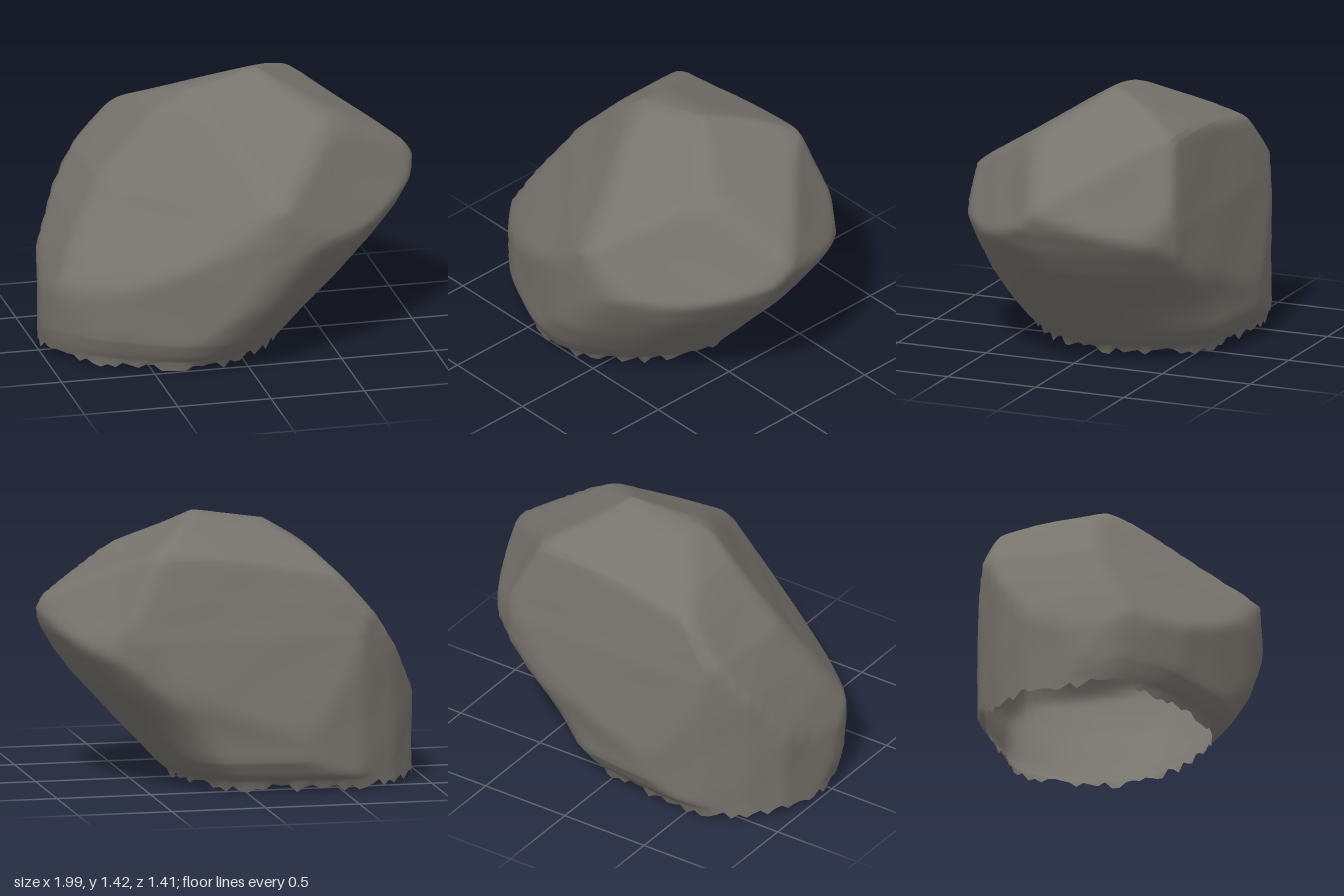
import * as THREE from 'three';

// Extents of the boulder by height: y, left x, right x, back z, front z
const LEVELS = [
  [0.04, -0.98, 0.30, -0.62, 0.52],
  [0.10, -0.99, 0.37, -0.67, 0.575],
  [0.18, -1.00, 0.44, -0.71, 0.625],
  [0.36, -0.98, 0.61, -0.695, 0.685],
  [0.55, -0.90, 0.785, -0.67, 0.705],
  [0.70, -0.825, 0.90, -0.65, 0.712],
  [0.82, -0.75, 0.97, -0.635, 0.712],
  [0.92, -0.69, 1.00, -0.615, 0.71],
  [1.00, -0.62, 0.96, -0.60, 0.61],
  [1.10, -0.53, 0.81, -0.58, 0.44],
  [1.23, -0.405, 0.61, -0.555, 0.23],
  [1.27, -0.35, 0.53, -0.53, 0.17],
  [1.36, -0.20, 0.33, -0.36, 0.02],
  [1.40, 0.05, 0.25, -0.24, -0.05],
  [1.43, 0.19, 0.20, -0.13, -0.10],
];

// Plan outline (x, z), counterclockwise seen from above
const PLAN = [
  [-1, 0], [-0.96, 0.2], [-0.85, 0.32], [-0.66, 0.46], [-0.4, 0.58], [-0.1, 0.68],
  [0.1, 0.71], [0.3, 0.69], [0.46, 0.62], [0.7, 0.46], [0.86, 0.28], [0.95, 0.15],
  [1, 0.04], [0.95, -0.2], [0.85, -0.42], [0.73, -0.55], [0.6, -0.63], [0.35, -0.665],
  [0, -0.7], [-0.2, -0.71], [-0.4, -0.69], [-0.6, -0.64], [-0.8, -0.5], [-0.93, -0.33],
];

// Broken facets: plane normal and distance
const FACETS = [
  [-0.53, 0.58, 0.62, 0.90],   // front left slope
  [0.55, 0.45, 0.70, 1.0],     // front right slope
  [0, 0.85, 0.53, 1.17],       // upper front slope
  [0.50, 0.87, 0, 1.35],       // upper right slope
  [-0.14, 0.92, -0.37, 1.335], // top plateau
  [0.75, 0.45, -0.49, 1.18],   // back right slope
];

// Upright plane through each edge of the plan
const WALLS = PLAN.map(([x, z], i) => {
  const [x1, z1] = PLAN[(i + 1) % PLAN.length];
  return [z - z1, 0, x1 - x, (z - z1) * x + (x1 - x) * z];
});

const CENTRE = new THREE.Vector3(0, 0.6, 0);
const SEGMENTS = 96;
const STEPS = 4;

function seeded(seed) {
  return () => (seed = (seed * 16807) % 2147483647) / 2147483647;
}

function softMin(a, b, k) {
  const h = Math.max(k - Math.abs(a - b), 0) / k;
  return Math.min(a, b) - h * h * k * 0.25;
}

// Fraction of a ray from the centre at which it meets a plane
function exit([x, y, z, d], dir) {
  const n = new THREE.Vector3(x, y, z);
  const along = n.dot(dir);
  return along > 1e-4 ? (d - n.dot(CENTRE)) / along : Infinity;
}

// Pull a point toward the centre until it lies behind every plane
function chip(p) {
  const dir = p.clone().sub(CENTRE);
  let t = Math.min(1, ...WALLS.map((w) => exit(w, dir)));
  for (const facet of FACETS) t = softMin(t, exit(facet, dir), 0.04);
  // Slight weathering
  t += 0.004 * Math.sin(7 * p.x + 5 * p.y) * Math.sin(6 * p.z - 8 * p.y + 1);
  return p.copy(CENTRE).addScaledVector(dir, t);
}

// Sections grow squarer with height, earlier on the left and back
function fitted(v, y) {
  const growth = v < 0
    ? THREE.MathUtils.smoothstep(y, 0.2, 1.0)
    : THREE.MathUtils.smoothstep(y, 0.85, 1.2);
  return THREE.MathUtils.clamp(v * (1 + 0.28 * growth), -1, 1);
}

function boulderGeometry() {
  const curve = new THREE.CatmullRomCurve3(
    PLAN.map(([x, z]) => new THREE.Vector3(x, 0, z / 0.71)), true);
  const ring = curve.getSpacedPoints(SEGMENTS).slice(0, SEGMENTS);
  const random = seeded(41);
  const positions = [];
  const indices = [];

  // Stack of sections, each the plan fitted to its extents
  const rows = (LEVELS.length - 1) * STEPS + 1;
  for (let i = 0; i < rows; i++) {
    const k = Math.min(Math.floor(i / STEPS), LEVELS.length - 2);
    const f = i / STEPS - k;
    const [y, x0, x1, z0, z1] = LEVELS[k].map((v, n) => THREE.MathUtils.lerp(v, LEVELS[k + 1][n], f));
    ring.forEach((o) => {
      const p = chip(new THREE.Vector3(
        (x0 + x1 + fitted(o.x, y) * (x1 - x0)) / 2, y,
        (z0 + z1 + fitted(o.z, y) * (z1 - z0)) / 2));
      // Ragged lower rim
      if (i === 0) p.y = 0.05 * random();
      positions.push(p.x, p.y, p.z);
    });
  }
  positions[1] = 0;

  for (let i = 0; i < rows - 1; i++) {
    for (let j = 0; j < SEGMENTS; j++) {
      const a = i * SEGMENTS + j;
      const b = i * SEGMENTS + (j + 1) % SEGMENTS;
      indices.push(a, b, b + SEGMENTS, a, b + SEGMENTS, a + SEGMENTS);
    }
  }

  // Close the summit
  const last = (rows - 1) * SEGMENTS;
  const top = positions.length / 3;
  positions.push(...chip(new THREE.Vector3(0.195, 1.43, -0.115)).toArray());
  for (let j = 0; j < SEGMENTS; j++) indices.push(last + j, last + (j + 1) % SEGMENTS, top);

  const geometry = new THREE.BufferGeometry();
  geometry.setAttribute('position', new THREE.Float32BufferAttribute(positions, 3));
  geometry.setIndex(indices);
  geometry.computeVertexNormals();
  return geometry;
}

export function createModel() {
  const group = new THREE.Group();
  group.name = 'rock';
  // Open underneath, so the inside shows too
  const material = new THREE.MeshStandardMaterial({ color: 0x77736d, side: THREE.DoubleSide });
  const boulder = new THREE.Mesh(boulderGeometry(), material);
  boulder.name = 'boulder';
  group.add(boulder);
  return group;
}
